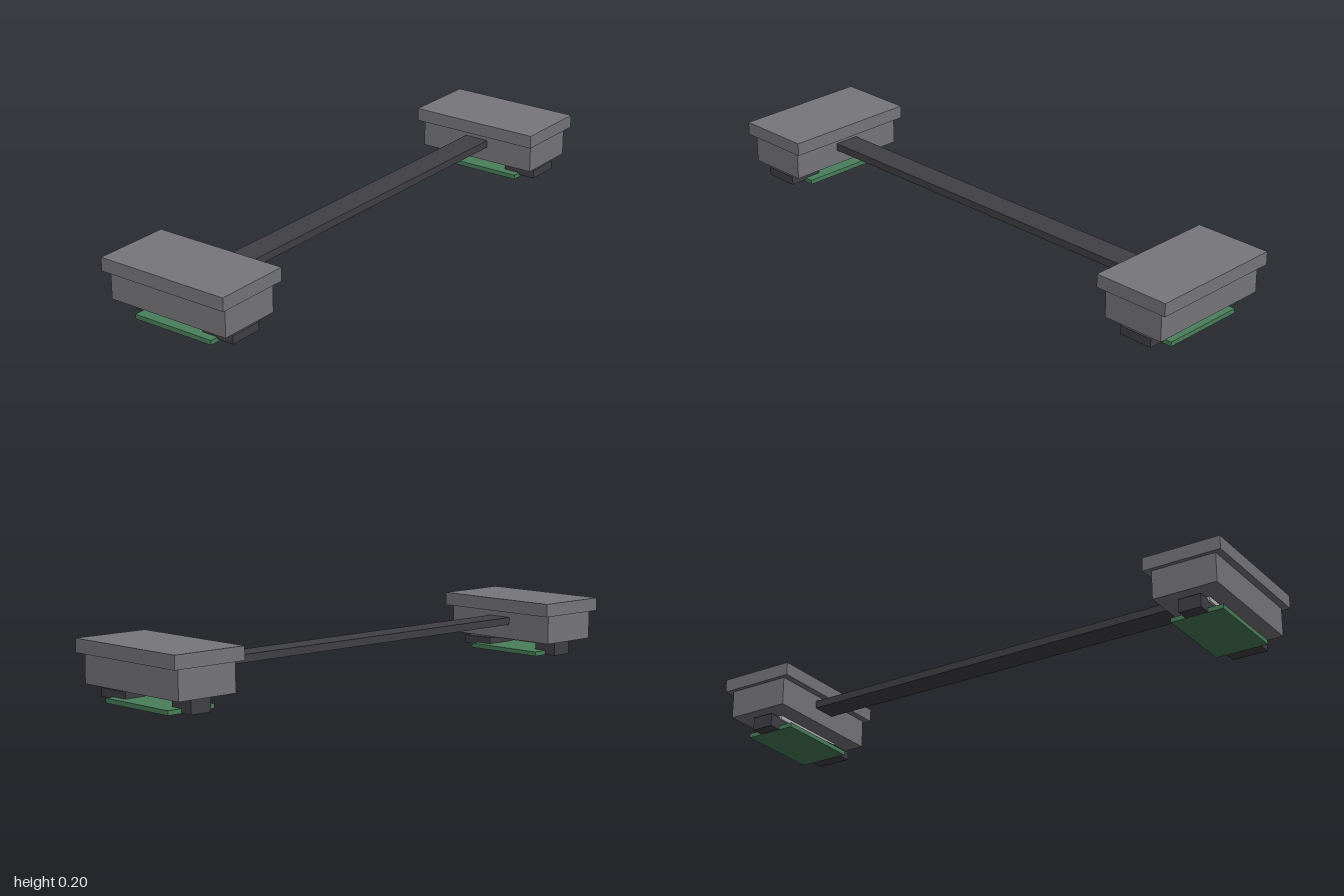
import * as THREE from 'three';

const material = (name, color) => {
  const m = new THREE.MeshStandardMaterial({ color });
  m.name = name;
  return m;
};

export function createModel() {
  const grey = material('housing grey', 0x77767b);
  const dark = material('dark grey', 0x414045);
  const green = material('board green', 0x4a7f5b);
  const light = material('light grey', 0xb4b3b8);

  // Box given by its limits on each axis
  const block = (name, mat, [x0, x1], [y0, y1], [z0, z1]) => {
    const mesh = new THREE.Mesh(new THREE.BoxGeometry(x1 - x0, y1 - y0, z1 - z0), mat);
    mesh.position.set((x0 + x1) / 2, (y0 + y1) / 2, (z0 + z1) / 2);
    mesh.name = name;
    return mesh;
  };

  const model = new THREE.Group();
  model.name = 'linkedModules';

  // Flat bar joining the two modules
  model.add(block('connectingBar', dark, [-0.745, 0.745], [0.108, 0.135], [-0.047, 0.047]));

  // One module at each end
  for (const [name, side] of [['leftModule', 1], ['rightModule', -1]]) {
    const unit = new THREE.Group();
    unit.name = name;
    unit.position.x = side * 0.86;
    unit.add(
      block('lid', grey, [-0.14, 0.14], [0.157, 0.204], [-0.25, 0.25]),
      block('housing', grey, [-0.115, 0.115], [0.055, 0.157], [-0.235, 0.235]),
      block('spacerPlate', light, [-0.048, 0.048], [0.04, 0.055], [-0.157, 0.157]),
      block('circuitBoard', green, [-0.094, 0.094], [0, 0.016], [-0.157, 0.157]),
      block('frontConnector', dark, [-0.063, 0.063], [0.009, 0.039], [0.095, 0.22]),
      block('backConnector', dark, [-0.04, 0.04], [0.001, 0.048], [-0.203, -0.11]),
    );
    model.add(unit);
  }
  return model;
}
